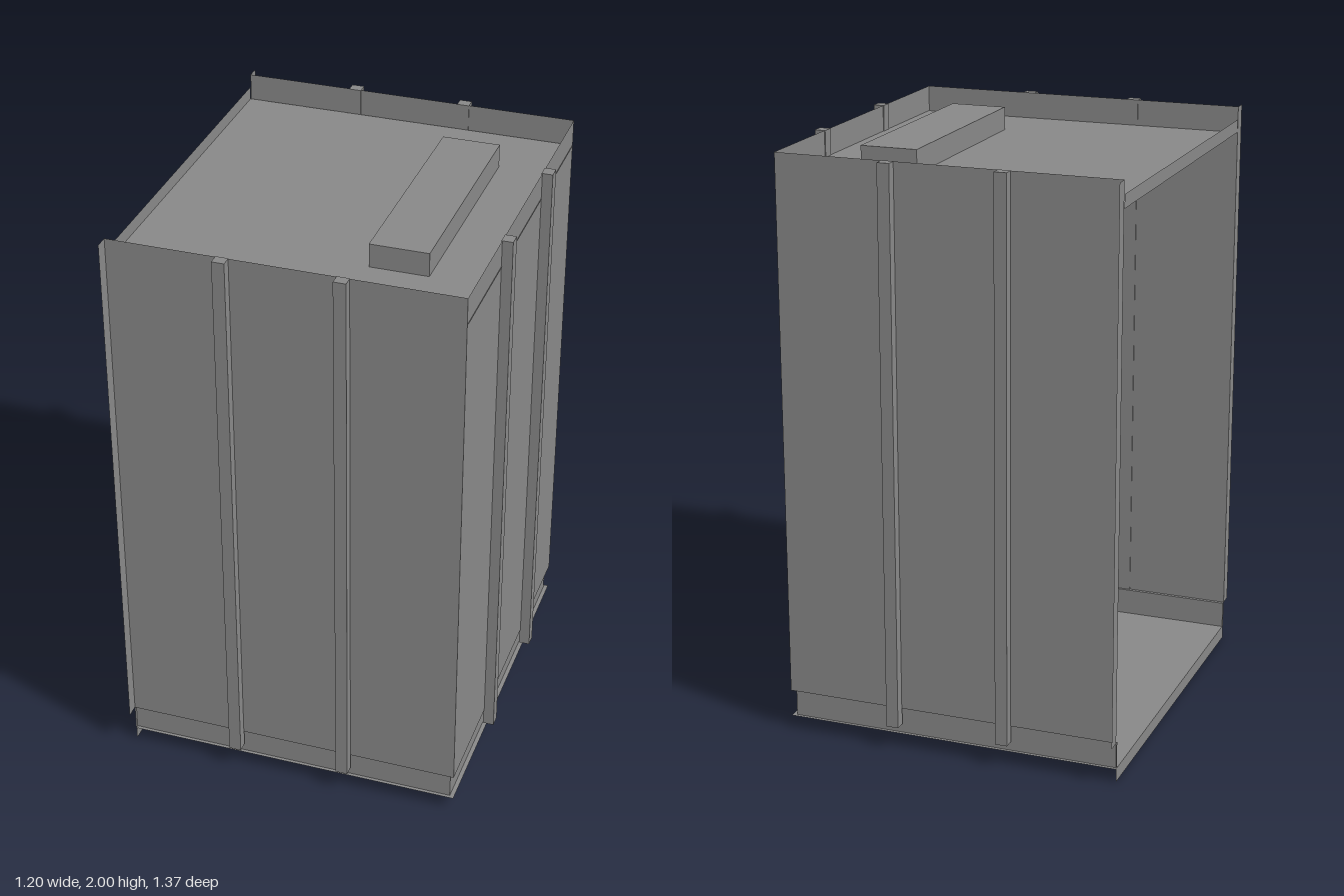
import * as THREE from 'three';

export function createModel() {
  const model = new THREE.Group();
  const solid = new THREE.MeshStandardMaterial({ color: 0x888888, flatShading: true });
  const thin = new THREE.MeshStandardMaterial({ color: 0x888888, flatShading: true, side: THREE.DoubleSide });

  // Both helpers take the ranges along x, y and z
  const place = (name, geometry, material, x, y, z) => {
    const mesh = new THREE.Mesh(geometry, material);
    mesh.name = name;
    mesh.position.set((x[0] + x[1]) / 2, (y[0] + y[1]) / 2, (z[0] + z[1]) / 2);
    model.add(mesh);
  };
  const block = (name, x, y, z) =>
    place(name, new THREE.BoxGeometry(x[1] - x[0], y[1] - y[0], z[1] - z[0]), solid, x, y, z);
  // A sheet has one range of zero length, which sets the way it faces
  const sheet = (name, x, y, z) => {
    const w = x[1] - x[0], h = y[1] - y[0], d = z[1] - z[0];
    let g;
    if (w === 0) g = new THREE.PlaneGeometry(d, h).rotateY(Math.PI / 2);
    else if (h === 0) g = new THREE.PlaneGeometry(w, d).rotateX(-Math.PI / 2);
    else g = new THREE.PlaneGeometry(w, h);
    place(name, g, thin, x, y, z);
  };

  const L = -0.6, R = 0.565, Z = 0.637;       // cabin walls
  const skirtX = 0.55, skirtZ = 0.625;        // recessed base
  const floorY = 0.047, wallY = 0.14, roofY = 1.91, top = 2;
  const inset = 0.003;                        // stiffeners pass just through the walls
  const span = [-Z, Z];

  // Floor and roof panels, each with a lip along the open side
  sheet('floor', [L, R], [floorY, floorY], span);
  sheet('floorLip', [L, L], [0, floorY], [-0.634, 0.634]);
  sheet('roof', [L, R + 0.002], [roofY, roofY], [-0.632, 0.632]);
  sheet('roofLip', [L, L], [roofY, roofY + 0.045], [-0.632, 0.632]);
  block('roofUnit', [0.177, 0.373], [roofY, 1.99], [-0.398, 0.394]);

  // End wall with its recessed skirt and ledge
  sheet('endWall', [R, R], [wallY, top], span);
  sheet('endSkirt', [skirtX, skirtX], [floorY, wallY], [-skirtZ, skirtZ]);
  sheet('endLedge', [skirtX, R], [wallY, wallY], span);

  for (const s of [1, -1]) {
    const range = (a, b) => (s > 0 ? [a, b] : [-b, -a]);

    // Side walls, door flanges, skirts and ledges
    sheet('sideWall', [L, R], [wallY, top], range(Z, Z));
    sheet('doorFlange', [L, L], [wallY, top], range(Z, 0.683));
    sheet('sideSkirt', [L, skirtX], [floorY, wallY], range(skirtZ, skirtZ));
    sheet('skirtFlange', [L, L], [floorY, wallY], range(skirtZ, Z));
    sheet('sideLedge', [L, skirtX], [wallY, wallY], range(skirtZ, Z));

    // Upright stiffeners
    for (const x of [-0.213, 0.176])
      block('sideStiffener', [x - 0.021, x + 0.021], [0.082, top], range(Z - inset, 0.671));
    block('endStiffener', [R - inset, 0.6], [0.082, top], range(0.22, 0.262));
  }
  return model;
}
